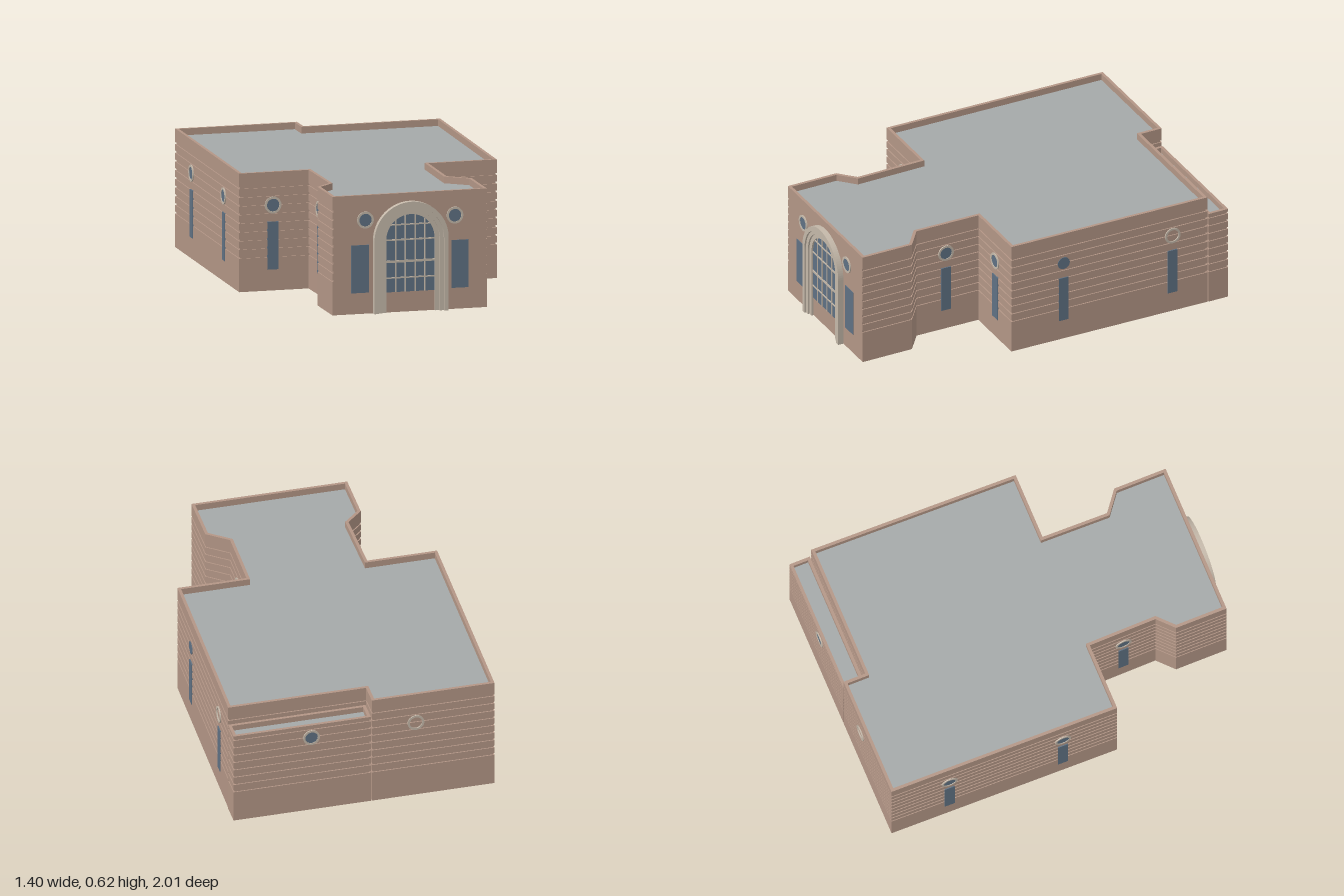
import * as THREE from 'three';

const mat = (name, color, side = THREE.FrontSide) => {
  const m = new THREE.MeshStandardMaterial({ color, side });
  m.name = name;
  return m;
};

// Footprints as [x, z], running left side -> front -> right side -> back
const MAIN = [
  [-0.685, -1], [-0.7, 0.245], [-0.33, 0.245], [-0.325, 0.61], [-0.41, 0.69], [-0.41, 0.97],
  [0.415, 0.97], [0.415, 0.685], [0.305, 0.6], [0.31, 0.245], [0.675, 0.245], [0.695, -0.88],
  [-0.035, -0.88], [-0.035, -1],
];
const ANNEX = [[-0.03, -1], [-0.03, -0.887], [0.697, -0.887], [0.697, -1]];
const FRONT = 5; // edge of MAIN that carries the arch and has no grooves
const PARAPET = 0.016;

// Outward unit normal of edge i
function normal(pts, i) {
  const n = pts.length, p = pts[(i + n) % n], q = pts[(i + 1) % n];
  const l = Math.hypot(q[0] - p[0], q[1] - p[1]);
  return [-(q[1] - p[1]) / l, (q[0] - p[0]) / l];
}

// Move every edge inwards by depth(i) and return the mitred corners
function inset(pts, depth) {
  return pts.map((p, i) => {
    const a = normal(pts, i - 1), b = normal(pts, i);
    const da = -depth((i - 1 + pts.length) % pts.length), db = -depth(i);
    const det = a[0] * b[1] - a[1] * b[0];
    return [p[0] + (da * b[1] - db * a[1]) / det, p[1] + (a[0] * db - b[0] * da) / det];
  });
}

// Grooved wall skin with a parapet folded over the top
function wallGeometry(pts, height, roofY, grooves, plainEdge = -1) {
  const profile = [{ y: 0, d: 0 }];
  for (let k = 0; k < grooves; k++) {
    const y = 0.18 + k * 0.0455, h = 0.0055;
    profile.push({ y: y - h, d: 0 }, { y: y - h, d: 0.006, groove: true },
      { y: y + h, d: 0.006, groove: true }, { y: y + h, d: 0 });
  }
  profile.push({ y: height, d: 0 }, { y: height, d: PARAPET }, { y: roofY, d: PARAPET });
  const rings = profile.map(s => inset(pts, i => (s.groove && i === plainEdge ? 0 : s.d))
    .map(([x, z]) => [x, s.y, z]));
  const pos = [];
  for (let j = 0; j < rings.length - 1; j++) {
    for (let i = 0; i < pts.length; i++) {
      const k = (i + 1) % pts.length;
      const a = rings[j][i], b = rings[j][k], c = rings[j + 1][k], d = rings[j + 1][i];
      pos.push(...a, ...b, ...c, ...a, ...c, ...d);
    }
  }
  const g = new THREE.BufferGeometry();
  g.setAttribute('position', new THREE.Float32BufferAttribute(pos, 3));
  g.computeVertexNormals();
  return g;
}

function roofGeometry(pts, y) {
  const shape = new THREE.Shape(inset(pts, () => PARAPET).map(([x, z]) => new THREE.Vector2(x, -z)));
  return new THREE.ShapeGeometry(shape).rotateX(-Math.PI / 2).translate(0, y, 0);
}

const extrude = (shape, depth) =>
  new THREE.ExtrudeGeometry(shape, { depth, bevelEnabled: false, curveSegments: 24 });

// Round-headed band from radius r to R, standing on y = 0
function archBand(R, r, spring) {
  const s = new THREE.Shape();
  s.moveTo(-R, 0);
  s.lineTo(-R, spring);
  s.absarc(0, spring, R, Math.PI, 0, true);
  s.lineTo(R, 0);
  s.lineTo(r, 0);
  s.lineTo(r, spring);
  s.absarc(0, spring, r, 0, Math.PI, false);
  s.lineTo(-r, 0);
  return s;
}

export function createModel() {
  const model = new THREE.Group();
  model.name = 'building';
  const brick = mat('brick', 0xb39686, THREE.DoubleSide);
  const roofGrey = mat('roofGrey', 0xa4a9a9, THREE.DoubleSide);
  const stone = mat('stone', 0xc4b8a9);
  const glass = mat('glass', 0x5f7183);

  const add = (parent, name, geometry, material, x = 0, y = 0, z = 0) => {
    const m = new THREE.Mesh(geometry, material);
    m.name = name;
    m.position.set(x, y, z);
    parent.add(m);
    return m;
  };

  // Shells and roofs
  add(model, 'mainWalls', wallGeometry(MAIN, 0.62, 0.585, 9, FRONT), brick);
  add(model, 'mainRoof', roofGeometry(MAIN, 0.585), roofGrey);
  add(model, 'annexWalls', wallGeometry(ANNEX, 0.52, 0.49, 8), brick);
  add(model, 'annexRoof', roofGeometry(ANNEX, 0.49), roofGrey);

  // Group lying on a wall edge at a given x (axis 0) or z (axis 1), facing outwards
  const onWall = (name, pts, edge, axis, value) => {
    const p = pts[edge], q = pts[(edge + 1) % pts.length], n = normal(pts, edge);
    const t = (value - p[axis]) / (q[axis] - p[axis]);
    const g = new THREE.Group();
    g.name = name;
    g.position.set(p[0] + t * (q[0] - p[0]), 0, p[1] + t * (q[1] - p[1]));
    g.rotation.y = Math.atan2(n[0], n[1]);
    model.add(g);
    return g;
  };

  // Porthole ring and pane, and the tall pane beneath it
  const ringShape = new THREE.Shape().absarc(0, 0, 0.044, 0, Math.PI * 2, false);
  ringShape.holes.push(new THREE.Path().absarc(0, 0, 0.033, 0, Math.PI * 2, true));
  const ringGeo = extrude(ringShape, 0.006);
  const discGeo = extrude(new THREE.Shape().absarc(0, 0, 0.034, 0, Math.PI * 2, false), 0.003);
  const bay = (pts, edge, axis, value, { y = 0.447, width = 0.055, shift = 0, ring = true, pane = true } = {}) => {
    const g = onWall('windowBay', pts, edge, axis, value);
    if (ring) add(g, 'portholeRing', ringGeo, stone, 0, y, 0);
    if (pane) add(g, 'portholePane', discGeo, glass, 0, y, 0);
    if (width) add(g, 'tallPane', new THREE.BoxGeometry(width, 0.25, 0.006), glass, shift, 0.235, 0);
  };

  // Front pavilion
  bay(MAIN, FRONT, 0, -0.235, { y: 0.49, width: 0.095, shift: -0.028 });
  bay(MAIN, FRONT, 0, 0.243, { y: 0.49, width: 0.09, shift: 0.027 });
  // Front faces of the wings
  bay(MAIN, 1, 0, -0.52, { width: 0.06 });
  bay(MAIN, 9, 0, 0.497, { width: 0.063 });
  // Neck sides
  bay(MAIN, 2, 1, 0.432);
  bay(MAIN, 8, 1, 0.432);
  // Long sides
  bay(MAIN, 0, 1, -0.055);
  bay(MAIN, 0, 1, -0.68);
  bay(MAIN, 10, 1, -0.055, { ring: false });
  bay(MAIN, 10, 1, -0.68, { pane: false });
  // Back
  bay(ANNEX, 3, 0, 0.285, { width: 0 });
  bay(MAIN, 13, 0, -0.268, { width: 0, pane: false });

  // Entrance arch: three bands stepping in towards the window
  const arch = onWall('entranceArch', MAIN, FRONT, 0, 0.004);
  const spring = 0.38, radii = [0.198, 0.174, 0.153, 0.13];
  for (let i = 0; i < 3; i++) {
    add(arch, 'archBand', extrude(archBand(radii[i], radii[i + 1], spring), 0.03 - i * 0.009), stone);
  }

  // Arched window with glazing bars
  const sill = 0.105, r = radii[3];
  const pane = new THREE.Shape();
  pane.moveTo(-r, sill);
  pane.lineTo(r, sill);
  pane.lineTo(r, spring);
  pane.absarc(0, spring, r, 0, Math.PI, false);
  add(arch, 'archPane', extrude(pane, 0.003), glass);
  for (const x of [-0.078, -0.026, 0.026, 0.078]) {
    const h = spring + Math.sqrt(r * r - x * x) - sill;
    add(arch, 'verticalBar', new THREE.BoxGeometry(0.007, h, 0.009), stone, x, sill + h / 2, 0.0025);
  }
  for (const [y, t] of [[0.18, 0.007], [0.265, 0.012], [0.378, 0.008], [0.457, 0.007]]) {
    const w = 2 * Math.sqrt(r * r - Math.max(0, y - spring) ** 2);
    add(arch, 'horizontalBar', new THREE.BoxGeometry(w, t, 0.009), stone, 0, y, 0.0025);
  }

  return model;
}
